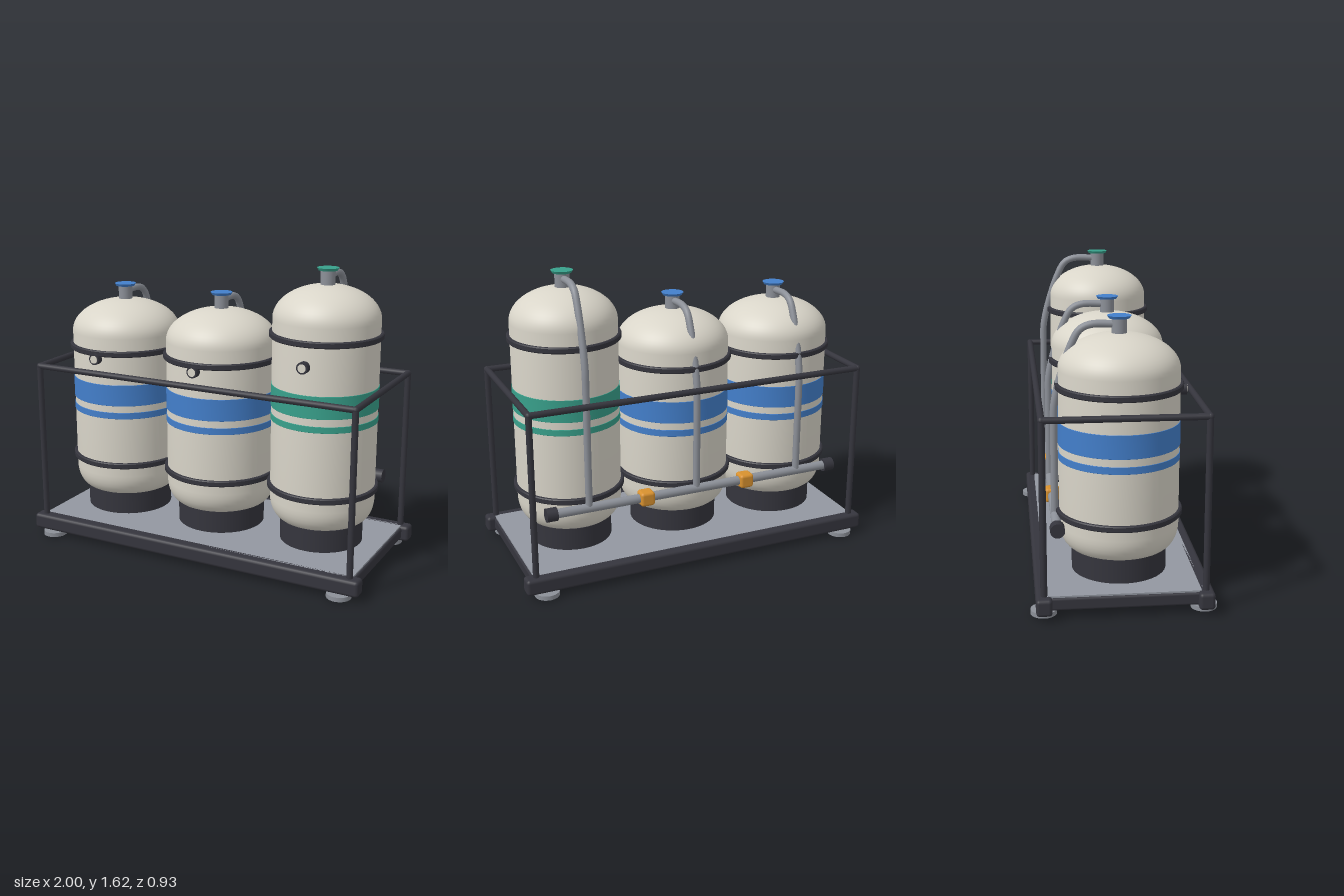
import * as THREE from 'three';
import { toCreasedNormals } from 'three/addons/utils/BufferGeometryUtils.js';
import { RoundedBoxGeometry } from 'three/addons/geometries/RoundedBoxGeometry.js';

const mat = (name, color) => Object.assign(new THREE.MeshStandardMaterial({ color }), { name });

export function createModel() {
  const model = new THREE.Group();
  model.name = 'tankSkid';
  const cream = mat('cream', 0xd9d5c9);
  const dark = mat('darkFrame', 0x35353d);
  const steel = mat('steel', 0x8c9098);
  const deckGrey = mat('deckGrey', 0x9297a0);
  const blue = mat('blue', 0x437fcb);
  const green = mat('green', 0x38a08b);
  const orange = mat('orange', 0xd8912f);

  const add = (parent, name, geometry, material, x = 0, y = 0, z = 0) => {
    const mesh = new THREE.Mesh(geometry, material);
    mesh.name = name;
    mesh.position.set(x, y, z);
    parent.add(mesh);
    return mesh;
  };
  const cyl = (r, h, n = 24, rBottom = r) => new THREE.CylinderGeometry(r, rBottom, h, n);
  const beam = (w, h, d, bevel = 0.012) => new RoundedBoxGeometry(w, h, d, 2, bevel);
  const hoop = (r, y0, y1, inner, bevel) => toCreasedNormals(new THREE.LatheGeometry([
    [inner, y0], [r - bevel, y0], [r, y0 + bevel], [r, y1 - bevel], [r - bevel, y1], [inner, y1],
  ].map(([a, b]) => new THREE.Vector2(a, b)), 64), 0.6);

  // Base skid
  const base = new THREE.Group();
  base.name = 'base';
  model.add(base);
  add(base, 'deck', new THREE.BoxGeometry(1.9, 0.01, 0.78), deckGrey, 0, 0.114, 0);
  add(base, 'deckUnderside', new THREE.BoxGeometry(1.9, 0.014, 0.76), dark, 0, 0.102, 0);
  for (const s of [-1, 1]) {
    add(base, 'sideBeam', beam(2, 0.088, 0.08, 0.018), dark, 0, 0.075, s * 0.4);
    add(base, 'endBeam', beam(0.06, 0.065, 0.76), dark, s * 0.93, 0.078, 0);
    for (const t of [-1, 1]) {
      add(base, 'foot', cyl(0.066, 0.024, 32), steel, s * 0.885, 0.016, t * 0.4);
      add(base, 'footPad', cyl(0.055, 0.008, 32), steel, s * 0.885, 0.004, t * 0.4);
    }
  }
  for (const x of [-0.46, 0, 0.46]) add(base, 'crossBeam', beam(0.045, 0.05, 0.74, 0.008), dark, x, 0.078, 0);

  // Guard cage
  const cage = new THREE.Group();
  cage.name = 'cage';
  model.add(cage);
  for (const s of [-1, 1]) {
    add(cage, 'longRail', cyl(0.017, 1.88, 12), dark, 0, 1.003, s * 0.4).rotation.z = Math.PI / 2;
    add(cage, 'endRail', cyl(0.017, 0.8, 12), dark, s * 0.94, 1.003, 0).rotation.x = Math.PI / 2;
    for (const t of [-1, 1]) {
      add(cage, 'post', cyl(0.017, 0.893, 12), dark, s * 0.94, 0.5565, t * 0.4);
      add(cage, 'corner', new THREE.SphereGeometry(0.018, 12, 8), dark, s * 0.94, 1.003, t * 0.4);
    }
  }

  // Tank with rounded base, domed top, hoops, stripes, gauge and feed pipe
  const tank = ({ x, R, top, skirtR, hoopY, stripes, gaugeY, capR, accent }) => {
    const g = new THREE.Group();
    g.name = 'tank';
    g.position.x = x;
    model.add(g);
    const profile = [new THREE.Vector2(0, 0.252)];
    for (let i = 0; i <= 8; i++) {
      const a = (i / 8) * Math.PI / 2;
      profile.push(new THREE.Vector2(R - 0.08 + 0.08 * Math.sin(a), 0.377 - 0.125 * Math.cos(a)));
    }
    const domeH = 0.178;
    for (let i = 0; i <= 16; i++) {
      const a = (i / 16) * Math.PI / 2;
      profile.push(new THREE.Vector2(i === 16 ? 0 : R * Math.cos(a), top - domeH + domeH * Math.sin(a)));
    }
    add(g, 'body', toCreasedNormals(new THREE.LatheGeometry(profile, 64), 0.7), cream);
    add(g, 'skirt', cyl(skirtR, 0.124, 48), dark, 0, 0.193, 0);
    for (const y of [0.444, hoopY]) add(g, 'hoop', hoop(R + 0.017, y - 0.016, y + 0.016, R - 0.005, 0.005), dark);
    for (const [y0, y1] of stripes) add(g, 'stripe', hoop(R + 0.003, y0, y1, R - 0.002, 0.001), accent);

    // Neck and cap
    add(g, 'neck', cyl(0.039, 0.09), steel, 0, top + 0.032, 0);
    add(g, 'cap', cyl(capR, 0.014, 32, capR - 0.008), accent, 0, top + 0.078, 0);

    // Gauge
    add(g, 'gauge', cyl(0.031, 0.045), dark, 0, gaugeY, R + 0.011).rotation.x = Math.PI / 2;
    add(g, 'gaugeFace', cyl(0.022, 0.004), cream, 0, gaugeY, R + 0.035).rotation.x = Math.PI / 2;

    // Feed pipe from neck down to the manifold
    const y = top + 0.042;
    const path = new THREE.CatmullRomCurve3([
      [y, -0.02], [y, -0.14], [y - 0.025, -0.195], [y - 0.1, -0.238], [y - 0.27, -0.296],
      [y - 0.4, -0.324], [y - 0.5, -0.327], [0.7, -0.327], [0.415, -0.327],
    ].map(([py, pz]) => new THREE.Vector3(0, py, pz)), false, 'centripetal');
    add(g, 'feedPipe', new THREE.TubeGeometry(path, 64, 0.019, 12), steel);
  };
  for (const x of [-0.617, 0]) {
    tank({ x, R: 0.305, top: 1.353, skirtR: 0.243, hoopY: 1.092, gaugeY: 1.062, capR: 0.06,
      stripes: [[0.795, 0.915], [0.72, 0.757]], accent: blue });
  }
  tank({ x: 0.617, R: 0.283, top: 1.53, skirtR: 0.225, hoopY: 1.27, gaugeY: 1.152, capR: 0.058,
    stripes: [[0.885, 1.005], [0.812, 0.846]], accent: green });

  // Rear manifold
  const manifold = new THREE.Group();
  manifold.name = 'manifold';
  manifold.position.set(0, 0.416, -0.325);
  model.add(manifold);
  add(manifold, 'header', cyl(0.025, 1.62, 20), steel).rotation.z = Math.PI / 2;
  for (const s of [-1, 1]) {
    add(manifold, 'endCap', cyl(0.037, 0.058, 20), dark, s * 0.823).rotation.z = Math.PI / 2;
    add(manifold, 'valve', beam(0.08, 0.078, 0.078, 0.016), orange, s * 0.295);
  }
  return model;
}
